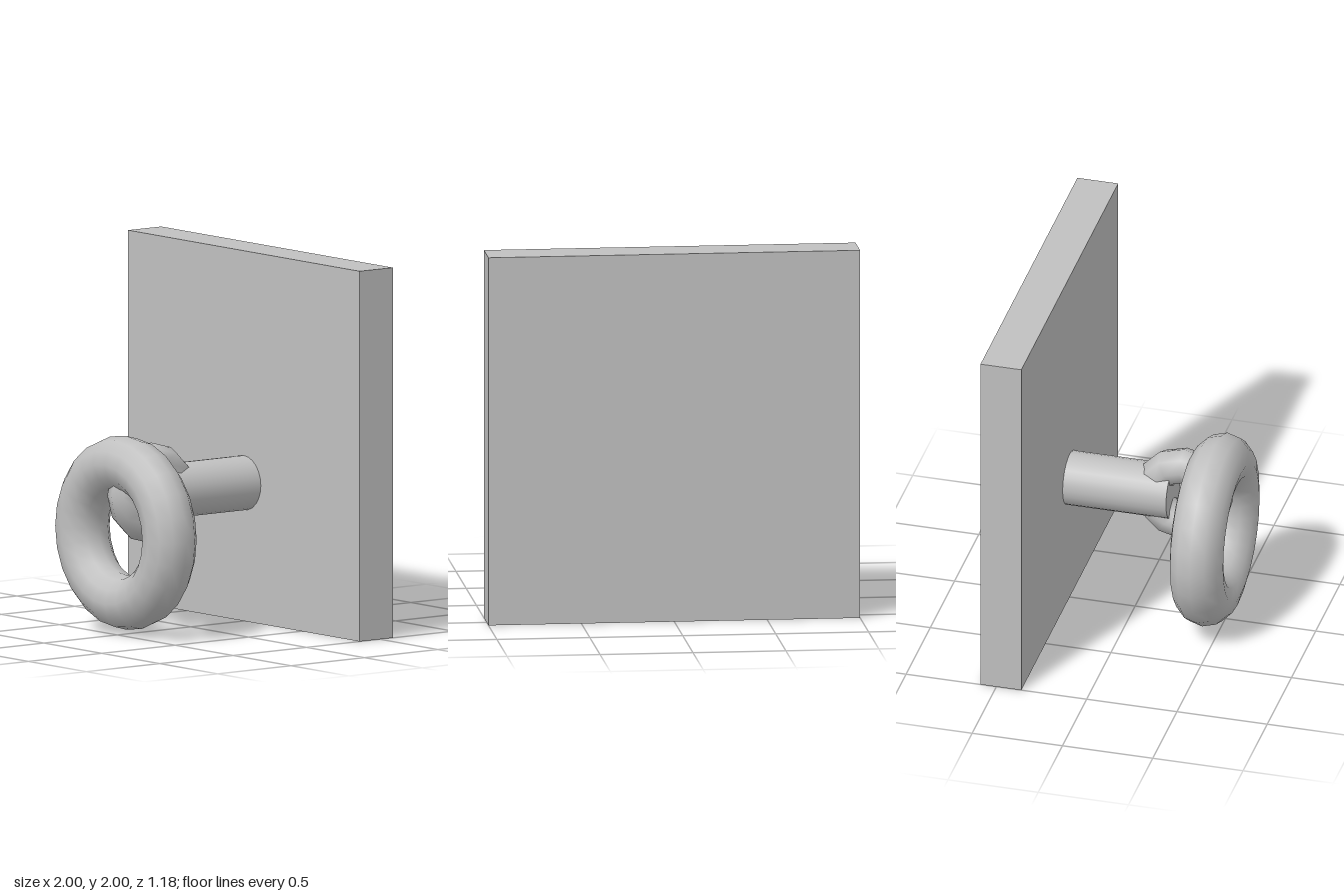
import * as THREE from 'three';

export function createModel() {
  const group = new THREE.Group();
  const grey = new THREE.MeshStandardMaterial({ color: 0xc0c0c0 });
  grey.name = 'grey';

  const add = (name, geometry, x, y, z) => {
    const mesh = new THREE.Mesh(geometry, grey);
    mesh.name = name;
    mesh.position.set(x, y, z);
    group.add(mesh);
    return mesh;
  };

  // Square wall plate
  add('wallPlate', new THREE.BoxGeometry(2, 2, 0.226), 0, 1, -0.475);

  // Post standing out from the plate
  const post = new THREE.CylinderGeometry(0.147, 0.147, 0.572, 24).rotateX(Math.PI / 2);
  add('post', post, 0, 0.747, -0.076);

  // Small upright link through the post's end
  const link = new THREE.TorusGeometry(0.172, 0.1, 8, 12).rotateY(Math.PI / 2);
  add('link', link, 0, 0.747, 0.27);

  // Large hanging ring
  add('ring', new THREE.TorusGeometry(0.376, 0.147, 12, 24), 0, 0.547, 0.441);

  return group;
}
